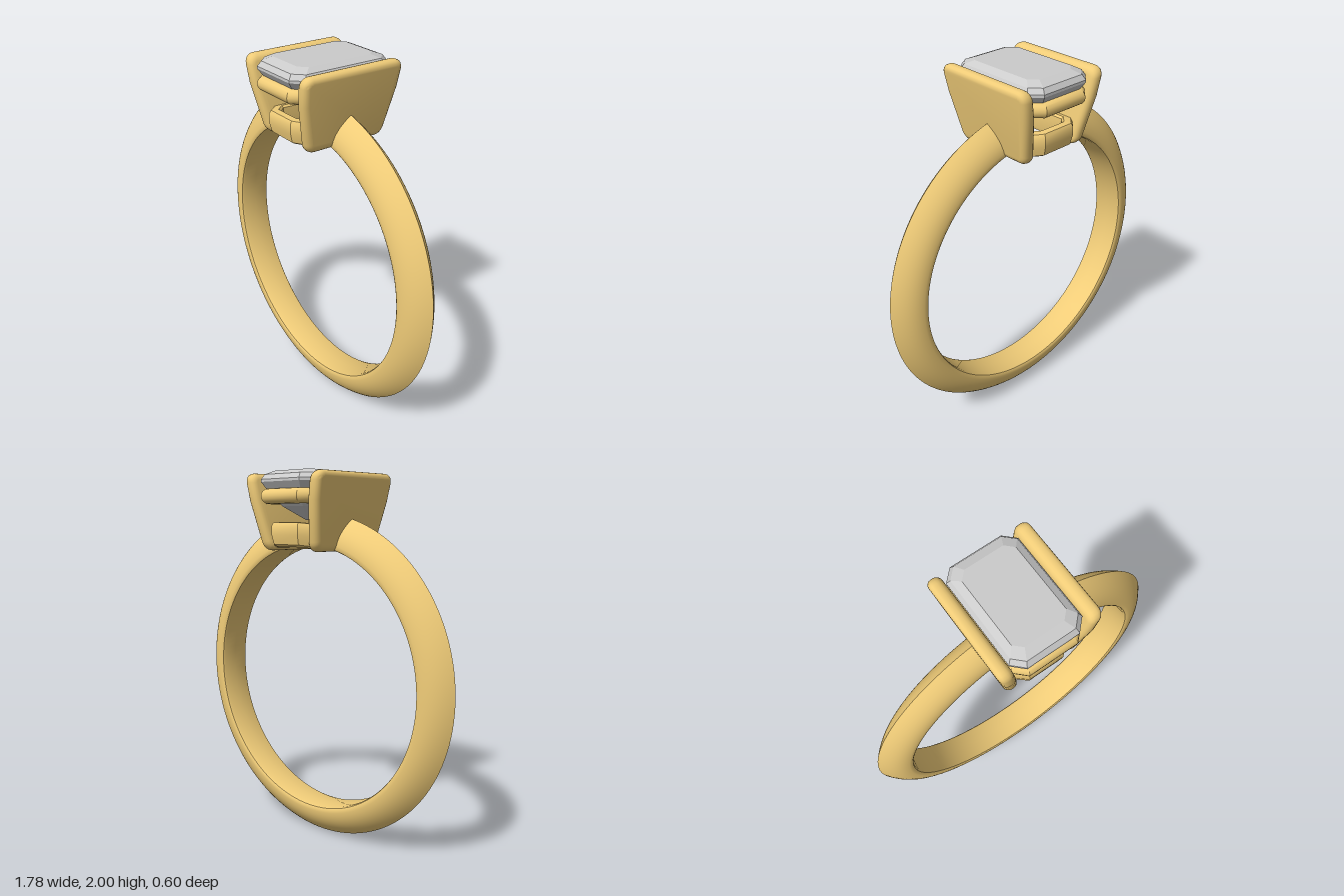
import * as THREE from 'three';
import { toCreasedNormals } from 'three/addons/utils/BufferGeometryUtils.js';

const CENTRE_Y = 0.895;

// Rectangle with clipped corners at height y, offset inwards by inset
function octagon(hx, hz, clip, y, inset = 0) {
  const x = hx - inset, z = hz - inset, c = clip - 0.586 * inset;
  return [[x, z - c], [x - c, z], [c - x, z], [-x, z - c], [-x, c - z], [c - x, -z], [x - c, -z], [x, c - z]]
    .map(([px, pz]) => new THREE.Vector3(px, y, pz));
}

// Skin a list of loops; closed joins the last loop to the first, otherwise the last is capped
function loft(loops, closed) {
  const pts = [];
  const n = loops[0].length;
  const last = closed ? loops.length : loops.length - 1;
  for (let i = 0; i < last; i++) {
    const lo = loops[i], hi = loops[(i + 1) % loops.length];
    for (let j = 0; j < n; j++) {
      const k = (j + 1) % n;
      pts.push(lo[j], hi[j], lo[k], lo[k], hi[j], hi[k]);
    }
  }
  if (!closed) {
    const top = loops[loops.length - 1];
    for (let j = 1; j < n - 1; j++) pts.push(top[0], top[j + 1], top[j]);
  }
  const geo = new THREE.BufferGeometry().setFromPoints(pts);
  geo.computeVertexNormals();
  return geo;
}

// Band: pointed-arch section swept round the finger, open under the setting
function bandGeometry() {
  const side = new THREE.QuadraticBezierCurve(
    new THREE.Vector2(0.735, -0.093), new THREE.Vector2(0.82, -0.093), new THREE.Vector2(0.89, 0)).getPoints(10);
  const mirrored = side.slice(0, -1).reverse().map(p => new THREE.Vector2(p.x, -p.y));
  const profile = [
    new THREE.Vector2(0.72, 0), new THREE.Vector2(0.721, -0.075), new THREE.Vector2(0.726, -0.088),
    ...side, ...mirrored,
    new THREE.Vector2(0.726, 0.088), new THREE.Vector2(0.721, 0.075), new THREE.Vector2(0.72, 0),
  ];
  const gap = 0.21;
  const geo = new THREE.LatheGeometry(profile, 128, gap, Math.PI * 2 - gap * 2);
  geo.rotateX(-Math.PI / 2);
  geo.translate(0, CENTRE_Y, 0);
  return toCreasedNormals(geo, 0.6);
}

// Side plate: softly bevelled tapering slab that leans outwards
function plateGeometry() {
  const s = new THREE.Shape();
  s.moveTo(-0.185, 1.62);
  s.lineTo(0.185, 1.62);
  s.quadraticCurveTo(0.205, 1.62, 0.21, 1.645);
  s.lineTo(0.253, 1.85);
  s.lineTo(0.26, 1.94);
  s.quadraticCurveTo(0.26, 1.96, 0.24, 1.96);
  s.lineTo(-0.24, 1.96);
  s.quadraticCurveTo(-0.26, 1.96, -0.26, 1.94);
  s.lineTo(-0.253, 1.85);
  s.lineTo(-0.21, 1.645);
  s.quadraticCurveTo(-0.205, 1.62, -0.185, 1.62);
  const geo = new THREE.ExtrudeGeometry(s, {
    depth: 0.012, bevelThickness: 0.03, bevelSize: 0.03, bevelSegments: 4, curveSegments: 5,
  });
  geo.translate(0, 0, -0.006);
  geo.rotateY(Math.PI / 2);
  const p = geo.attributes.position;
  for (let i = 0; i < p.count; i++) p.setX(i, p.getX(i) + 0.168 + (p.getY(i) - 1.6) * 0.185);
  return toCreasedNormals(geo, 0.6);
}

// Upper rail: round wire bent to the stone's outline
function upperRailGeometry() {
  const r = 0.039, loops = [];
  for (let i = 0; i < 16; i++) {
    const t = i / 16 * Math.PI * 2;
    loops.push(octagon(0.19, 0.3, 0.06, 1.87 + r * Math.sin(t), r * (1 - Math.cos(t))));
  }
  return toCreasedNormals(loft(loops, true), 0.6);
}

// Lower rail: taller frame whose top and bottom follow the curve of the band
function lowerRailGeometry() {
  const section = [[0.03, 1.617], [0.012, 1.63], [0, 1.68], [0, 1.725], [0.01, 1.742],
    [0.045, 1.742], [0.055, 1.73], [0.06, 1.63], [0.055, 1.617]];
  const loops = section.map(([inset, y]) => octagon(0.175, 0.26, 0.08, y, inset));
  for (const loop of loops) for (const v of loop) v.y -= v.x * v.x / 1.5;
  return toCreasedNormals(loft(loops, true), 0.6);
}

// Stone: step-cut keel, girdle, crown and flat table
function stoneGeometry() {
  return loft([
    octagon(0.002, 0.1, 0.001, 1.75),
    octagon(0.11, 0.2, 0.035, 1.82),
    octagon(0.162, 0.255, 0.045, 1.89),
    octagon(0.193, 0.29, 0.055, 1.942),
    octagon(0.193, 0.29, 0.055, 1.955),
    octagon(0.178, 0.272, 0.05, 1.98),
    octagon(0.143, 0.222, 0.04, 2.0),
  ], false);
}

export function createModel() {
  const ring = new THREE.Group();
  ring.name = 'ring';
  const gold = new THREE.MeshStandardMaterial({ color: 0xf0cc78, side: THREE.DoubleSide });
  const grey = new THREE.MeshStandardMaterial({ color: 0xcccccc, flatShading: true });
  const add = (name, geo, mat) => {
    const mesh = new THREE.Mesh(geo, mat);
    mesh.name = name;
    ring.add(mesh);
    return mesh;
  };

  add('band', bandGeometry(), gold);
  const plate = plateGeometry();
  add('leftPlate', plate, gold);
  add('rightPlate', plate, gold).rotation.y = Math.PI;
  add('upperRail', upperRailGeometry(), gold);
  add('lowerRail', lowerRailGeometry(), gold);
  add('stone', stoneGeometry(), grey);
  return ring;
}
